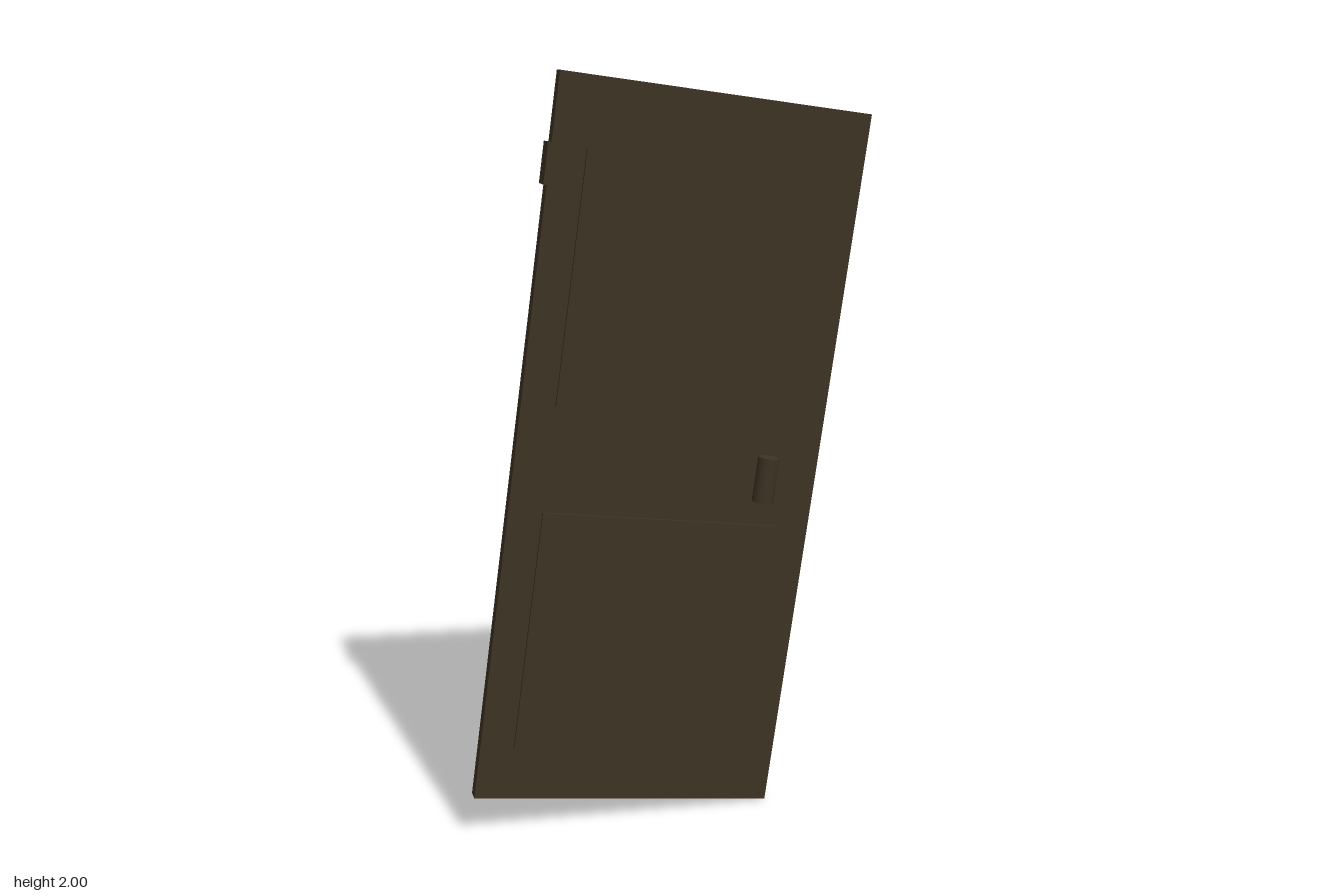
import * as THREE from 'three';

const darkWood = new THREE.MeshStandardMaterial({ color: 0x3d3323 });
darkWood.name = 'dark wood';

function addPart(parent, name, geometry, x, y, z) {
  const mesh = new THREE.Mesh(geometry, darkWood);
  mesh.name = name;
  mesh.position.set(x, y, z);
  parent.add(mesh);
  return mesh;
}

export function createModel() {
  const model = new THREE.Group();
  model.name = 'door';

  // Everything sits in one frame: leaning sideways, then swung open
  const leaf = new THREE.Group();
  leaf.name = 'doorLeaf';
  leaf.rotation.set(0, Math.PI / 6, THREE.MathUtils.degToRad(-8), 'YXZ');
  leaf.position.set(0, 1, -0.0325);
  model.add(leaf);

  // Main slab
  addPart(leaf, 'slab', new THREE.BoxGeometry(0.83, 1.903, 0.035), 0, 0, 0);

  // Two slightly raised panels on the front
  const panel = new THREE.BoxGeometry(0.65, 0.65, 0.02);
  addPart(leaf, 'upperPanel', panel, 0, 0.448, 0.0145);
  addPart(leaf, 'lowerPanel', panel, 0, -0.481, 0.0145);

  // Hinge block wrapped round the edge
  addPart(leaf, 'hinge', new THREE.BoxGeometry(0.04, 0.104, 0.05), -0.405, 0.726, 0);

  // Handle floating in front of the slab
  addPart(leaf, 'handle', new THREE.CylinderGeometry(0.026, 0.026, 0.11, 16), 0.105, 0.065, 0.434);

  return model;
}
